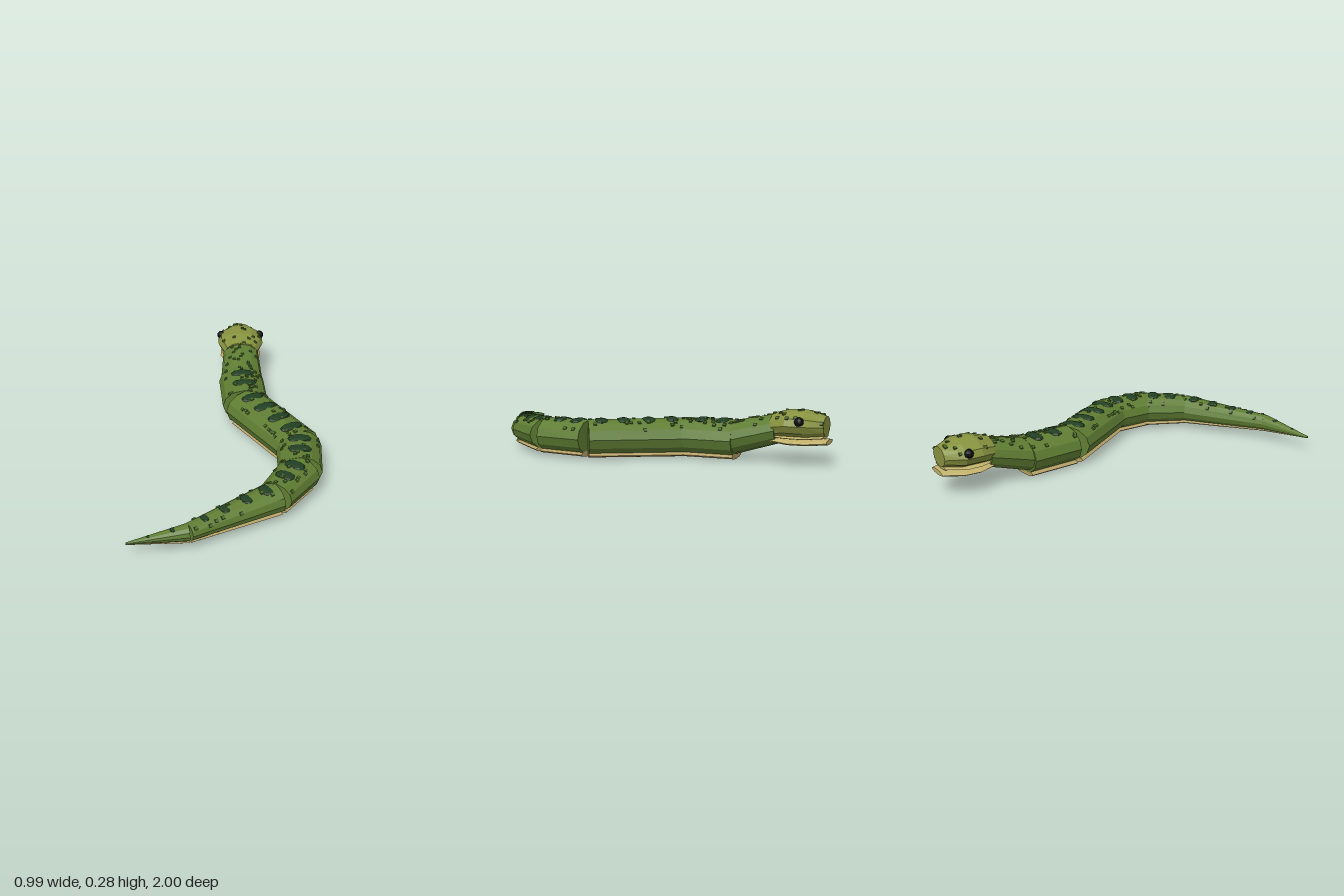
import * as THREE from 'three';

const mat = (name, color) => {
  const m = new THREE.MeshStandardMaterial({ color, flatShading: true });
  m.name = name;
  return m;
};
const SIDES = 12;
const V = (x, y, z) => new THREE.Vector3(x, y, z);

// Closed loft through rings { c, rx, ry }; rings stand upright, across the travel direction.
function loft(rings, side) {
  const pos = [], idx = [];
  for (const r of rings) for (let j = 0; j < SIDES; j++) {
    const a = (j / SIDES) * Math.PI * 2;
    pos.push(r.c.x + side.x * Math.cos(a) * r.rx, r.c.y + Math.sin(a) * r.ry, r.c.z + side.z * Math.cos(a) * r.rx);
  }
  for (let i = 0; i < rings.length - 1; i++) for (let j = 0; j < SIDES; j++) {
    const a = i * SIDES + j, b = i * SIDES + (j + 1) % SIDES;
    idx.push(a, b, b + SIDES, a, b + SIDES, a + SIDES);
  }
  const last = (rings.length - 1) * SIDES;
  for (let j = 1; j < SIDES - 1; j++) {
    idx.push(0, j + 1, j);
    idx.push(last, last + j, last + j + 1);
  }
  const g = new THREE.BufferGeometry();
  g.setAttribute('position', new THREE.Float32BufferAttribute(pos, 3));
  g.setIndex(idx);
  const out = g.toNonIndexed();
  out.computeVertexNormals();
  return out;
}

export function createModel() {
  const root = new THREE.Group();
  root.name = 'snake';
  const skin = mat('body green', 0x5f7d33);
  const spot = mat('spot dark green', 0x213f22);
  const scale = mat('scale green', 0x4c6a2c);
  const headSkin = mat('head olive', 0x87933f);
  const tan = mat('belly tan', 0xb5a066);
  const jawTan = mat('jaw tan', 0xc2b26c);
  const black = mat('eye black', 0x0c0c0c);

  let seed = 7;
  const rnd = () => (seed = (seed * 16807) % 2147483647) / 2147483647;
  const add = (name, geo, m, parent = root) => {
    const mesh = new THREE.Mesh(geo, m);
    mesh.name = name;
    parent.add(mesh);
    return mesh;
  };
  const bumpGeo = new THREE.BoxGeometry(0.017, 0.012, 0.017);

  // Small raised scale on the upper surface between two rings
  function bump(parent, A, B, t, ang, side) {
    const rx = A.rx + (B.rx - A.rx) * t, ry = A.ry + (B.ry - A.ry) * t;
    const p = A.c.clone().lerp(B.c, t).addScaledVector(side, Math.cos(ang) * rx * 0.98);
    p.y += Math.sin(ang) * ry * 0.98;
    const b = add('scaleBump', bumpGeo, scale, parent);
    b.position.copy(p);
    const n = side.clone().multiplyScalar(Math.cos(ang) / rx);
    n.y += Math.sin(ang) / ry;
    n.normalize();
    const u = V(-side.z, 0, side.x).normalize();
    b.quaternion.setFromRotationMatrix(new THREE.Matrix4().makeBasis(n.clone().cross(u), n, u));
  }

  // Body segments: start and end as [x, y, z, rx, ry], then number of scales, spots and belly
  const segments = [
    ['neck', [0.085, 0.175, -0.74, 0.105, 0.078], [0.085, 0.113, -0.5, 0.122, 0.09], 20, false],
    ['frontBody', [0.082, 0.109, -0.51, 0.13, 0.096], [0.1, 0.109, -0.22, 0.13, 0.096], 22, true],
    ['midBody', [0.1, 0.107, -0.22, 0.13, 0.095], [0.368, 0.108, 0.215, 0.126, 0.092], 24, true],
    ['bendBody', [0.368, 0.11, 0.205, 0.121, 0.09], [0.358, 0.11, 0.46, 0.114, 0.088], 16, true],
    ['rearBody', [0.358, 0.11, 0.455, 0.113, 0.086], [0.22, 0.107, 0.67, 0.092, 0.076], 14, true],
    ['rearTail', [0.22, 0.106, 0.67, 0.091, 0.074], [-0.205, 0.091, 0.928, 0.046, 0.043], 14, true],
    ['tailTip', [-0.205, 0.091, 0.928, 0.046, 0.043], [-0.498, 0.075, 0.992, 0.006, 0.005], 0, true],
  ];
  for (const [name, a, b, bumps, patterned] of segments) {
    const group = new THREE.Group();
    group.name = name;
    root.add(group);
    const [A, B] = [a, b].map((q) => ({ c: V(q[0], q[1], q[2]), rx: q[3], ry: q[4] }));
    const dir = B.c.clone().sub(A.c);
    const side = V(dir.z, 0, -dir.x).normalize();
    add(name + 'Skin', loft([A, B], side), skin, group);
    for (let i = 0; i < bumps; i++) {
      bump(group, A, B, (i + 0.3 + 0.4 * rnd()) / bumps, Math.PI * (0.17 + 0.66 * rnd()), side);
    }
    if (!patterned) continue;

    // Flat belly plate under the body
    const under = (r) => ({ c: V(r.c.x, r.c.y - r.ry + r.ry * 0.06, r.c.z), rx: r.rx * 0.71, ry: r.ry * 0.19 });
    add(name + 'Belly', loft([under(A), under(B)], side), tan, group);

    // Dark spots along the back
    const ts = name === 'midBody' ? [0.13, 0.37, 0.63, 0.86] : name === 'rearTail' ? [0.12, 0.35, 0.6, 0.82] : [0.25, 0.64];
    for (const t of ts) {
      const rx = A.rx + (B.rx - A.rx) * t, ry = A.ry + (B.ry - A.ry) * t;
      const s = add('backSpot', new THREE.SphereGeometry(1, 10, 6), spot, group);
      s.position.copy(A.c).lerp(B.c, t);
      s.position.y += ry * 0.88;
      s.scale.set(rx * 0.53, ry * 0.18, Math.min(0.04, rx * 0.4));
      s.rotation.y = Math.atan2(dir.x, dir.z);
    }
  }

  // Head, running from the snout back to the neck
  const head = new THREE.Group();
  head.name = 'head';
  root.add(head);
  const X = V(1, 0, 0), cx = 0.085;
  const rings = (list) => list.map(([z, y, rx, ry]) => ({ c: V(cx, y, z), rx, ry }));
  const skull = rings([
    [-0.985, 0.2, 0.07, 0.052], [-0.89, 0.206, 0.134, 0.072],
    [-0.8, 0.206, 0.134, 0.072], [-0.71, 0.19, 0.095, 0.064],
  ]);
  add('skull', loft(skull, X), headSkin, head);
  for (let i = 0; i < 18; i++) {
    const k = i % 3;
    bump(head, skull[k], skull[k + 1], 0.1 + 0.8 * rnd(), Math.PI * (0.12 + 0.76 * rnd()), X);
  }
  // Upper lip and lower jaw
  add('upperLip', loft(rings([[-0.98, 0.146, 0.06, 0.008], [-0.89, 0.142, 0.11, 0.009], [-0.8, 0.142, 0.11, 0.009], [-0.72, 0.142, 0.08, 0.008]]), X), jawTan, head);
  add('lowerJaw', loft(rings([[-1, 0.121, 0.065, 0.013], [-0.9, 0.118, 0.118, 0.018], [-0.81, 0.118, 0.122, 0.018], [-0.715, 0.122, 0.085, 0.016]]), X), jawTan, head);

  // Eyes
  for (const s of [-1, 1]) {
    const eye = add(s > 0 ? 'leftEye' : 'rightEye', new THREE.SphereGeometry(0.025, 10, 8), black, head);
    eye.position.set(cx + s * 0.117, 0.228, -0.875);
  }
  return root;
}
